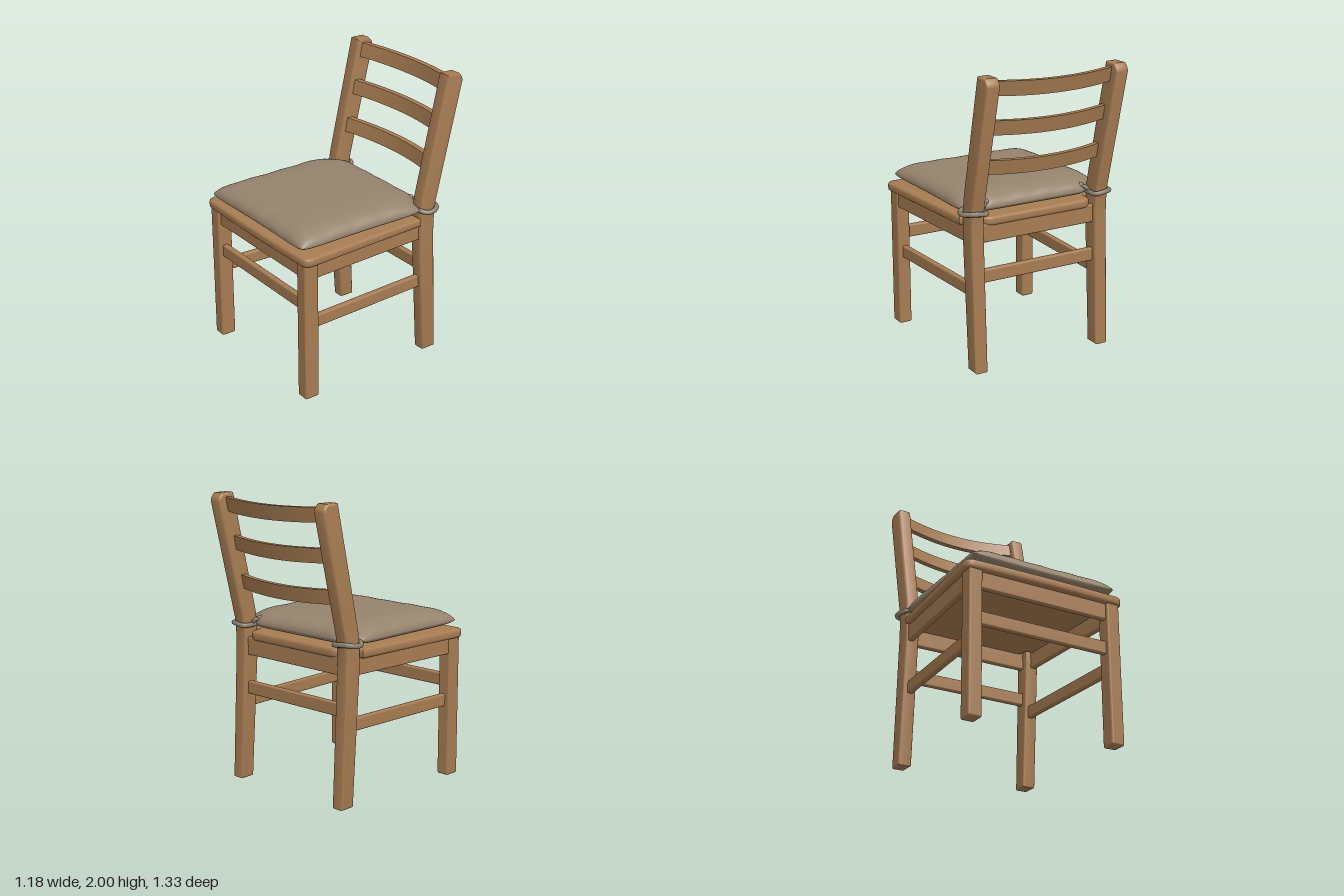
import * as THREE from 'three';
import { toCreasedNormals } from 'three/addons/utils/BufferGeometryUtils.js';
import { RoundedBoxGeometry } from 'three/addons/geometries/RoundedBoxGeometry.js';

const wood = new THREE.MeshStandardMaterial({ color: 0xa67c52 });
wood.name = 'wood';
const cloth = new THREE.MeshStandardMaterial({ color: 0x95836d });
cloth.name = 'cushion cloth';
const cord = new THREE.MeshStandardMaterial({ color: 0x8c8070 });
cord.name = 'tie cord';

function add(group, name, geometry, material = wood) {
  const mesh = new THREE.Mesh(geometry, material);
  mesh.name = name;
  group.add(mesh);
  return mesh;
}

// Extrusion with softly rounded edges that stays inside its outline
function softExtrude(shape, depth, bevel) {
  const g = new THREE.ExtrudeGeometry(shape, {
    depth: depth - 2 * bevel, bevelEnabled: true, bevelThickness: bevel, bevelSize: bevel,
    bevelOffset: -bevel, bevelSegments: 3, curveSegments: 16,
  });
  g.translate(0, 0, bevel);
  return g;
}

function moveVertices(g, rule) {
  const p = g.attributes.position;
  const v = new THREE.Vector3();
  for (let i = 0; i < p.count; i++) {
    v.fromBufferAttribute(p, i);
    rule(v);
    p.setXYZ(i, v.x, v.y, v.z);
  }
  return g;
}

// Horizontal rail between two [x, z] points
function rail(group, name, a, b, y0, y1, thickness) {
  const dx = b[0] - a[0], dz = b[1] - a[1];
  const m = add(group, name, new RoundedBoxGeometry(Math.hypot(dx, dz), y1 - y0, thickness, 2, 0.01));
  m.position.set((a[0] + b[0]) / 2, (y0 + y1) / 2, (a[1] + b[1]) / 2);
  m.rotation.y = Math.atan2(-dz, dx);
}

// Back leg and leaning post in one piece, drawn from the side as (-z, y)
function backPost() {
  const s = new THREE.Shape();
  s.moveTo(0.397, 0);
  s.lineTo(0.503, 0);
  s.lineTo(0.462, 0.92);
  s.quadraticCurveTo(0.46, 1.06, 0.475, 1.14);
  s.lineTo(0.667, 1.94);
  s.quadraticCurveTo(0.67, 1.97, 0.635, 2);
  s.lineTo(0.54, 2);
  s.lineTo(0.35, 1.17);
  s.quadraticCurveTo(0.336, 1.05, 0.336, 0.92);
  s.closePath();
  const g = softExtrude(s, 0.095, 0.014);
  g.rotateY(Math.PI / 2);
  return toCreasedNormals(g, 0.7);
}

// Seat board, narrower at the back with a tongue between the posts
function seatBoard() {
  const s = new THREE.Shape();
  s.moveTo(-0.535, 0.65);
  s.quadraticCurveTo(0, 0.668, 0.535, 0.65);
  s.quadraticCurveTo(0.597, 0.645, 0.592, 0.58);
  s.lineTo(0.541, -0.33);
  s.lineTo(0.425, -0.33);
  s.lineTo(0.415, -0.4);
  s.quadraticCurveTo(0.4, -0.44, 0.35, -0.442);
  s.lineTo(-0.35, -0.442);
  s.quadraticCurveTo(-0.4, -0.44, -0.415, -0.4);
  s.lineTo(-0.425, -0.33);
  s.lineTo(-0.541, -0.33);
  s.lineTo(-0.592, 0.58);
  s.quadraticCurveTo(-0.597, 0.645, -0.535, 0.65);
  const g = softExtrude(s, 0.062, 0.018);
  g.rotateX(Math.PI / 2);
  g.translate(0, 1.047, 0);
  return toCreasedNormals(g, 0.7);
}

// Back slat, bowed backwards and leaning with the posts
function slat(y, z) {
  const g = new RoundedBoxGeometry(0.88, 0.098, 0.04, 2, 0.012);
  const box = new THREE.BoxGeometry(0.88, 0.098, 0.04, 20, 2, 1);
  g.dispose();
  moveVertices(box, (v) => {
    const bow = 1 - (v.x / 0.44) ** 2;
    v.z += z - 0.065 * bow - 0.21 * v.y;
    v.y += y - 0.012 * bow;
  });
  return toCreasedNormals(box, 0.7);
}

// One face of the cushion: side +1 is the top, -1 the underside
function cushionFace(side) {
  const g = new THREE.PlaneGeometry(2, 2, 48, 48);
  g.rotateX(-side * Math.PI / 2);
  moveVertices(g, (p) => {
    const u = Math.sin(p.x * Math.PI / 2), v = Math.sin(p.z * Math.PI / 2);
    const puff = Math.sqrt(Math.max(0, (1 - u ** 6) * (1 - v ** 6)));
    const edge = Math.max(Math.abs(u), Math.abs(v)) ** 6 * puff;
    const fold = edge * 0.005 * (Math.sin(17 * u + 2 * v) + Math.sin(13 * v - 3 * u));
    const corner = u ** 12 * v ** 12;
    const tongue = THREE.MathUtils.smoothstep(0.47 - Math.abs(u * 0.535), 0, 0.12);
    const back = -0.342 - 0.062 * tongue;
    const front = 0.642 - 0.012 * (1 - u * u);
    p.x = u * (0.54 - 0.012 * (1 - v * v) - 0.015 * corner);
    p.z = back + (front - back) * (v + 1) / 2 - 0.012 * v * corner;
    p.y = 1.097 + (side > 0 ? 0.097 * puff + fold : -0.05 * puff);
  });
  g.computeVertexNormals();
  return g;
}

// Cord loop around a post, with a small knot on the cushion corner
function tie(group, s) {
  const loop = [[0.42, -0.34], [0.52, -0.335], [0.556, -0.37], [0.558, -0.43], [0.52, -0.476],
    [0.425, -0.476], [0.414, -0.41]].map(([x, z], i) => new THREE.Vector3(s * x, 1.09 + 0.006 * Math.sin(i * 2), z));
  const name = s > 0 ? 'left' : 'right';
  add(group, name + 'TieLoop', new THREE.TubeGeometry(new THREE.CatmullRomCurve3(loop, true), 60, 0.017, 8, true), cord);
  const end = new THREE.CatmullRomCurve3([
    new THREE.Vector3(s * 0.42, 1.09, -0.4), new THREE.Vector3(s * 0.395, 1.12, -0.4),
    new THREE.Vector3(s * 0.37, 1.13, -0.37)]);
  add(group, name + 'TieEnd', new THREE.TubeGeometry(end, 12, 0.013, 8), cord);
  const knot = add(group, name + 'TieKnot', new THREE.SphereGeometry(0.024, 12, 8), cord);
  knot.position.set(s * 0.37, 1.128, -0.37);
}

export function createModel() {
  const chair = new THREE.Group();
  chair.name = 'chair';

  // Legs, posts and side rails, mirrored
  for (const s of [-1, 1]) {
    const side = s > 0 ? 'left' : 'right';
    const leg = add(chair, side + 'FrontLeg', new RoundedBoxGeometry(0.095, 1, 0.108, 3, 0.014));
    leg.position.set(s * 0.517, 0.5, 0.582);
    const post = add(chair, side + 'BackPost', backPost());
    post.position.x = s > 0 ? 0.43 : -0.525;
    rail(chair, side + 'Apron', [s * 0.532, 0.56], [s * 0.487, -0.38], 0.875, 1.0, 0.045);
    rail(chair, side + 'Stretcher', [s * 0.51, 0.56], [s * 0.472, -0.4], 0.5, 0.587, 0.042);
    tie(chair, s);
  }

  // Front and back rails
  rail(chair, 'frontApron', [-0.5, 0.592], [0.5, 0.592], 0.875, 1.0, 0.045);
  rail(chair, 'backApron', [-0.46, -0.41], [0.46, -0.41], 0.875, 1.0, 0.045);
  rail(chair, 'frontStretcher', [-0.5, 0.585], [0.5, 0.585], 0.63, 0.72, 0.042);
  rail(chair, 'backStretcher', [-0.46, -0.415], [0.46, -0.415], 0.6, 0.69, 0.042);

  add(chair, 'seatBoard', seatBoard());

  // Three bowed slats climbing the leaning back
  [[1.392, -0.452], [1.663, -0.515], [1.925, -0.58]].forEach(([y, z], i) => {
    add(chair, 'backSlat' + (i + 1), slat(y, z));
  });

  // Cushion
  add(chair, 'cushionTop', cushionFace(1), cloth);
  add(chair, 'cushionUnderside', cushionFace(-1), cloth);
  return chair;
}
